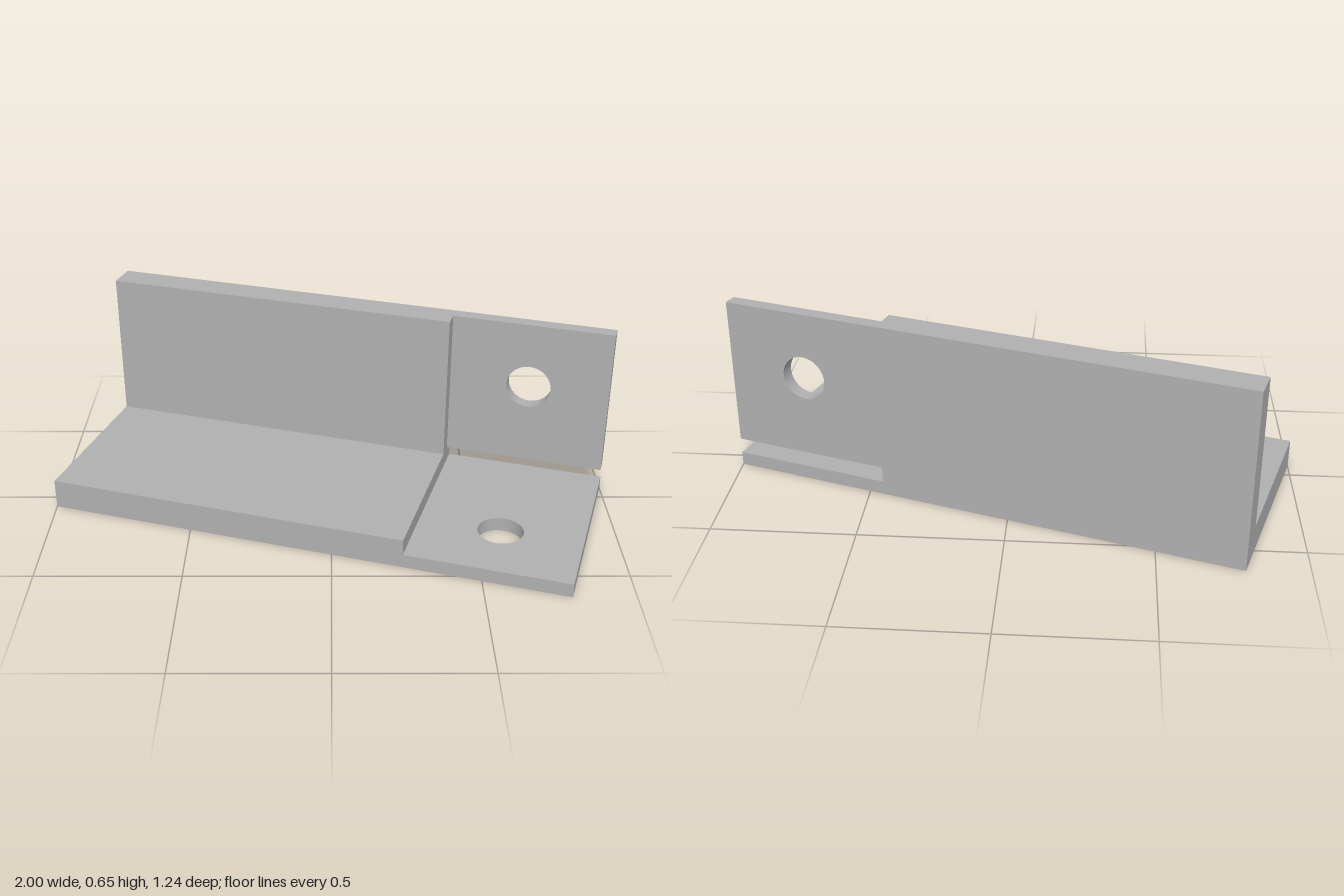
import * as THREE from 'three';

const L = 1.873, W = 0.713, H = 0.647; // length, depth, height of the angle bracket
const T = 0.107, THIN = 0.05;          // full and reduced leg thickness
const STEP = 1.298;                    // where the legs become thin tabs
const HOLE_X = (STEP + L) / 2, HOLE_R = 0.08;

// Rectangular tab with a round bolt hole, thickened along +z
function tabGeometry(y0, y1, holeY) {
  const shape = new THREE.Shape([
    new THREE.Vector2(STEP, y0), new THREE.Vector2(L, y0),
    new THREE.Vector2(L, y1), new THREE.Vector2(STEP, y1),
  ]);
  const hole = new THREE.Path();
  hole.absarc(HOLE_X, holeY, HOLE_R, 0, Math.PI * 2, true);
  shape.holes.push(hole);
  return new THREE.ExtrudeGeometry(shape, { depth: THIN, bevelEnabled: false, curveSegments: 48 });
}

export function createModel() {
  const steel = new THREE.MeshStandardMaterial({ color: 0xb0b0b0 });
  steel.name = 'steelGrey';
  const model = new THREE.Group();
  model.name = 'angleBracket';
  const add = (name, geometry) => {
    geometry.translate(-L / 2, 0, -W / 2);
    const mesh = new THREE.Mesh(geometry, steel);
    mesh.name = name;
    model.add(mesh);
  };

  // L-section body, drawn as (depth, height) and swept along the length
  const section = new THREE.Shape(
    [[0, 0], [W, 0], [W, T], [T, T], [T, H], [0, H]].map(([z, y]) => new THREE.Vector2(z, y)));
  add('angleBody', new THREE.ExtrudeGeometry(section, { depth: STEP, bevelEnabled: false })
    .rotateY(-Math.PI / 2).translate(STEP, 0, 0));

  // Upright tab, separated from the floor tab by a slot
  add('uprightTab', tabGeometry(T, H, 0.405));

  // Floor tab lying flat
  add('floorTab', tabGeometry(0, W, 0.47).rotateX(Math.PI / 2).translate(0, THIN, 0));

  // The bracket stands turned about the vertical
  model.rotation.y = -THREE.MathUtils.degToRad(17.25);
  return model;
}
